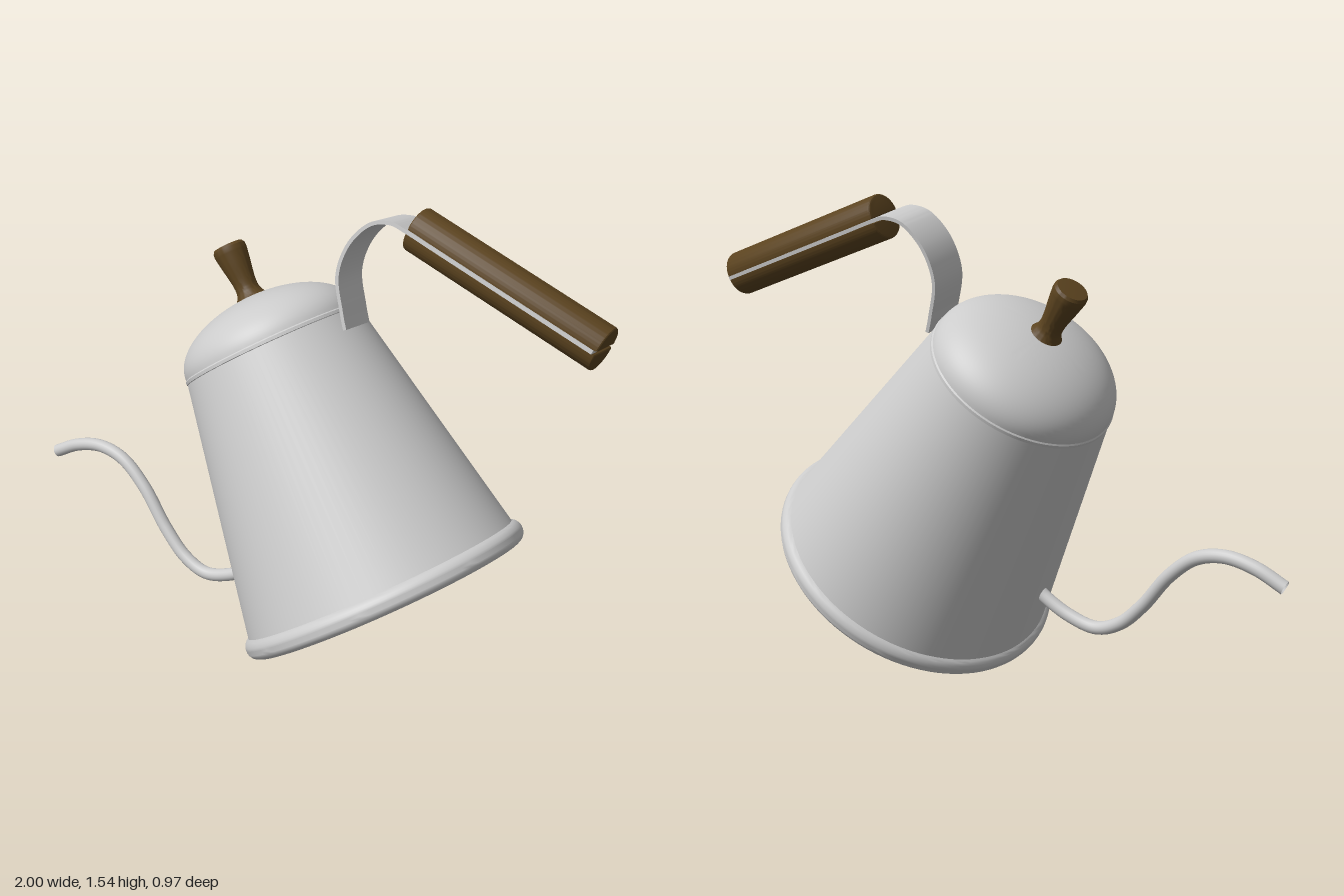
import * as THREE from 'three';
import { toCreasedNormals } from 'three/addons/utils/BufferGeometryUtils.js';

const V2 = (x, y) => new THREE.Vector2(x, y);
const steel = new THREE.MeshStandardMaterial({ color: 0xcccccc, side: THREE.DoubleSide });
const wood = new THREE.MeshStandardMaterial({ color: 0x5b431f });

function part(name, geometry, material, parent) {
  const mesh = new THREE.Mesh(geometry, material);
  mesh.name = name;
  parent.add(mesh);
  return mesh;
}

function lathe(points, segments = 96) {
  return toCreasedNormals(new THREE.LatheGeometry(points, segments), 0.5);
}

export function createModel() {
  const model = new THREE.Group();
  model.name = 'pouringKettle';

  // The kettle is built upright (handle +x, spout -x), then tipped as a whole
  const kettle = new THREE.Group();
  kettle.name = 'kettle';
  model.add(kettle);

  // Flat bottom with a rounded rim
  const rim = [V2(0, -0.03)];
  for (let i = 0; i <= 12; i++) {
    const a = -Math.PI / 2 + (i / 12) * Math.PI * 0.92;
    rim.push(V2(0.459 + 0.03 * Math.cos(a), 0.005 + 0.035 * Math.sin(a)));
  }
  part('bottomRim', lathe(rim), steel, kettle);

  // Tapered body
  part('body', lathe([V2(0.468, 0.03), V2(0.304, 0.877)]), steel, kettle);

  // Domed lid with a slim lip
  const dome = [V2(0.302, 0.862), V2(0.309, 0.866), V2(0.309, 0.876)];
  for (let i = 0; i <= 24; i++) {
    const a = (i / 24) * Math.PI / 2;
    dome.push(V2(0.305 * Math.cos(a), 0.88 + 0.165 * Math.sin(a)));
  }
  part('lid', lathe(dome), steel, kettle);

  // Waisted wooden lid knob
  const waist = new THREE.SplineCurve([
    V2(0.056, 1.035), V2(0.04, 1.065), V2(0.039, 1.1), V2(0.049, 1.16), V2(0.056, 1.205),
  ]).getPoints(20);
  part('lidKnob', lathe([...waist, V2(0.055, 1.218), V2(0.049, 1.227), V2(0, 1.23)], 48), wood, kettle);

  // Slender swan-neck spout
  const neck = new THREE.CatmullRomCurve3([
    [-0.4, 0.235], [-0.443, 0.23], [-0.54, 0.239], [-0.636, 0.277], [-0.69, 0.357], [-0.716, 0.475],
    [-0.729, 0.637], [-0.765, 0.757], [-0.832, 0.831], [-0.925, 0.872], [-1.027, 0.887],
  ].map(([x, y]) => new THREE.Vector3(x, y, 0.02)));
  part('spout', new THREE.TubeGeometry(neck, 100, 0.022, 20), steel, kettle);

  // Flat steel strap that rises from the body and runs through the grip
  const gripStart = V2(0.657, 0.988), gripEnd = V2(1.05, 0.42);
  const bend = new THREE.SplineCurve([
    V2(0.319, 0.805), V2(0.335, 0.86), V2(0.375, 0.965), V2(0.455, 1.033),
    V2(0.55, 1.057), V2(0.618, 1.033), gripStart, gripStart.clone().lerp(gripEnd, 0.15),
  ]).getPoints(70);
  const path = [...bend, gripStart.clone().lerp(gripEnd, 0.985)];
  const side = (sign) => path.map((p, i) => {
    const t = path[Math.min(i + 1, path.length - 1)].clone().sub(path[Math.max(i - 1, 0)]).normalize();
    return V2(p.x - t.y * sign * 0.006, p.y + t.x * sign * 0.006);
  });
  const strap = new THREE.ExtrudeGeometry(
    new THREE.Shape([...side(1), ...side(-1).reverse()]), { depth: 0.147, bevelEnabled: false });
  strap.translate(0, 0, -0.0735);
  part('handleStrap', toCreasedNormals(strap, 0.5), steel, kettle);

  // Two half-round wooden grips clamped on the strap
  const dir = gripEnd.clone().sub(gripStart);
  const length = dir.length();
  dir.normalize();
  const grip = new THREE.Group();
  grip.name = 'handleGrip';
  grip.quaternion.setFromRotationMatrix(new THREE.Matrix4().makeBasis(
    new THREE.Vector3(0, 0, 1), new THREE.Vector3(dir.y, -dir.x, 0), new THREE.Vector3(dir.x, dir.y, 0)));
  grip.position.set(gripStart.x, gripStart.y, 0);
  kettle.add(grip);
  const half = new THREE.Shape().absarc(0, 0, 0.067, 0, Math.PI, false);
  const bevel = 0.008;
  const halfGeometry = new THREE.ExtrudeGeometry(half, {
    depth: length - 2 * bevel, curveSegments: 32,
    bevelSize: bevel, bevelOffset: -bevel, bevelThickness: bevel, bevelSegments: 3,
  });
  halfGeometry.translate(0, 0.006, bevel);
  const halfGrip = toCreasedNormals(halfGeometry, 0.5);
  part('innerGripHalf', halfGrip, wood, grip);
  part('outerGripHalf', halfGrip, wood, grip).rotation.z = Math.PI;

  // Tip the kettle into its pouring pose
  const up = new THREE.Vector3(-0.578, 0.804, -0.137).normalize();
  const width = new THREE.Vector3(0, 0.168, 0.986).normalize();
  const out = new THREE.Vector3().crossVectors(up, width).normalize();
  kettle.quaternion.setFromRotationMatrix(new THREE.Matrix4().makeBasis(out, up, width));
  kettle.position.set(0.358, 0.308, 0);
  return model;
}
